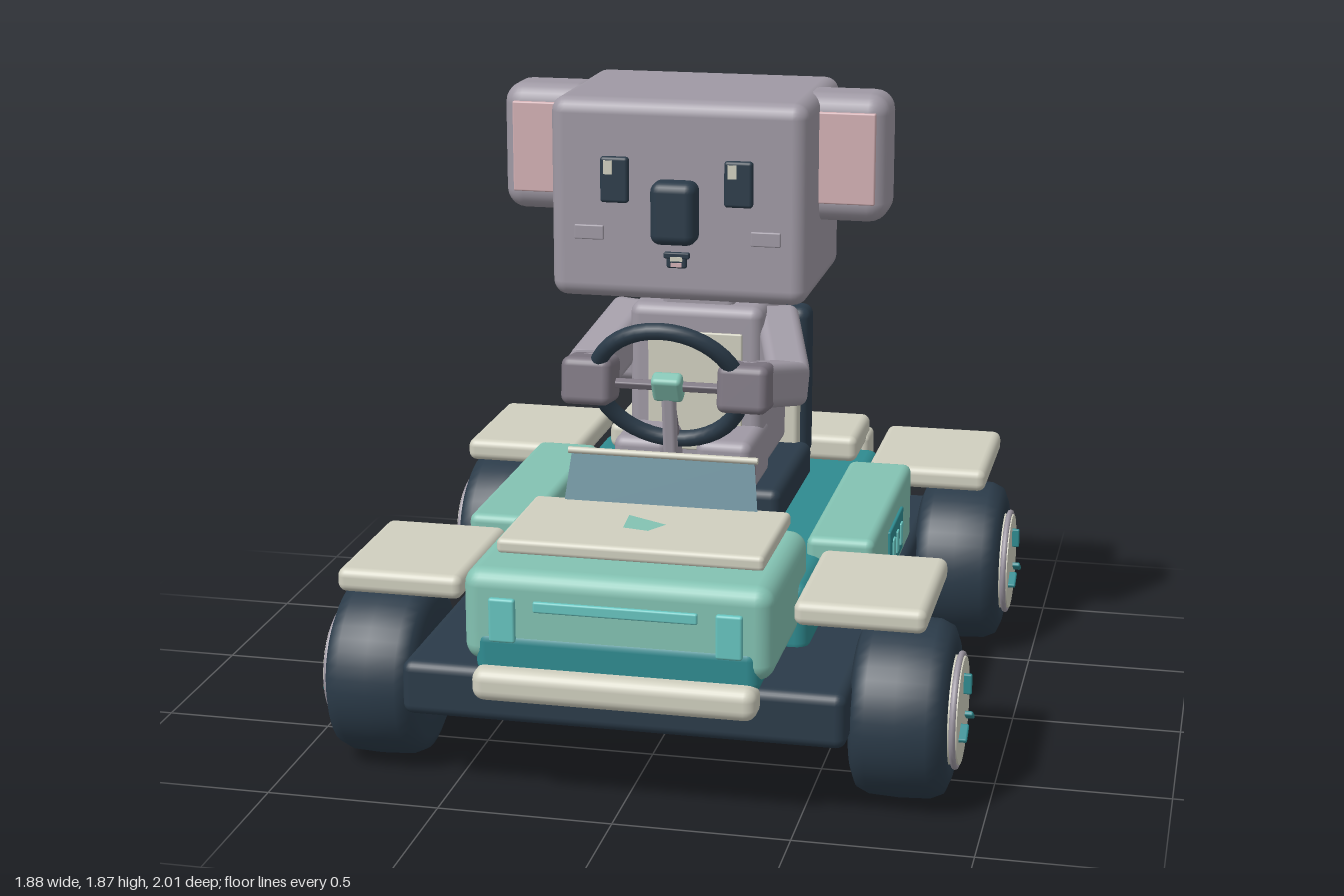
import * as THREE from 'three';
import { RoundedBoxGeometry } from 'three/addons/geometries/RoundedBoxGeometry.js';

const mat = (name, color, side = THREE.FrontSide) => {
  const m = new THREE.MeshStandardMaterial({ color, side });
  m.name = name;
  return m;
};

export function createModel() {
  const navy = mat('navy', 0x2b3b49);
  const mint = mat('mint', 0x83c2b2);
  const teal = mat('teal', 0x2f8b90);
  const cream = mat('cream', 0xd0cfbf);
  const fur = mat('fur grey', 0x9f99a4);
  const paw = mat('paw grey', 0x7d7681);
  const pink = mat('pink', 0xd3b0b4);
  const aqua = mat('aqua', 0x67c5c0);
  const glass = mat('glass', 0x6a909d, THREE.DoubleSide);

  const model = new THREE.Group();
  model.name = 'bearInBuggy';

  const add = (name, geometry, material, parent = model) => {
    const mesh = new THREE.Mesh(geometry, material);
    mesh.name = name;
    parent.add(mesh);
    return mesh;
  };
  // Rounded box given by its extents on each axis
  const box = (name, material, [x0, x1], [y0, y1], [z0, z1], r = 0.02, parent = model) => {
    const w = x1 - x0, h = y1 - y0, d = z1 - z0;
    const geo = r > 0
      ? new RoundedBoxGeometry(w, h, d, 3, Math.min(r, w * 0.45, h * 0.45, d * 0.45))
      : new THREE.BoxGeometry(w, h, d);
    const mesh = add(name, geo, material, parent);
    mesh.position.set((x0 + x1) / 2, (y0 + y1) / 2, (z0 + z1) / 2);
    return mesh;
  };
  // Rounded box repeated on the left and the right
  const pair = (name, material, [x0, x1], y, z, r) => {
    box(name + 'Left', material, [x0, x1], y, z, r);
    box(name + 'Right', material, [-x1, -x0], y, z, r);
  };
  // Rounded box stretched between two points
  const limb = (name, material, a, b, w, h, r = 0.03) => {
    const from = new THREE.Vector3(...a), to = new THREE.Vector3(...b);
    const mesh = add(name, new RoundedBoxGeometry(w, h, from.distanceTo(to), 3, r), material);
    mesh.position.copy(from).lerp(to, 0.5);
    mesh.lookAt(to);
    return mesh;
  };

  // Chassis and body
  box('chassis', navy, [-0.63, 0.63], [0.23, 0.39], [-0.96, 0.905], 0.03);
  box('bodyTub', teal, [-0.465, 0.465], [0.36, 0.575], [-0.84, 0.56], 0.04);
  pair('sidePod', mint, [0.41, 0.61], [0.385, 0.63], [-0.51, 0.29], 0.025);
  pair('ventPanel', teal, [0.605, 0.619], [0.43, 0.565], [-0.265, 0], 0.005);
  for (const z of [-0.055, -0.13, -0.21]) {
    pair('vent', aqua, [0.612, 0.625], [0.46, 0.53], [z - 0.017, z + 0.017], 0.004);
  }

  // Nose, hood and front lights
  box('nose', mint, [-0.435, 0.435], [0.42, 0.69], [0.38, 0.945], 0.05);
  box('lowerNose', teal, [-0.4, 0.4], [0.385, 0.52], [0.75, 0.95], 0.035);
  box('hoodPlate', cream, [-0.38, 0.38], [0.685, 0.73], [0.365, 0.785], 0.015);
  box('lightBar', aqua, [-0.23, 0.23], [0.582, 0.614], [0.94, 0.955], 0.006);
  pair('headlight', aqua, [0.28, 0.355], [0.49, 0.617], [0.94, 0.96], 0.008);
  box('frontBumper', cream, [-0.4, 0.4], [0.325, 0.42], [0.9, 1.0], 0.035);
  const patch = new THREE.Shape([[-0.065, -0.505], [-0.055, -0.62], [0.02, -0.635], [0.058, -0.57]]
    .map(([x, y]) => new THREE.Vector2(x, y)));
  const hoodPatch = add('hoodPatch', new THREE.ShapeGeometry(patch), mint);
  hoodPatch.rotation.x = -Math.PI / 2;
  hoodPatch.position.y = 0.733;

  // Windshield
  box('cowl', navy, [-0.28, 0.28], [0.65, 0.688], [0.32, 0.43], 0.01);
  const pane = new THREE.Shape([[-0.29, 0], [0.29, 0], [0.27, 0.185], [-0.27, 0.185]]
    .map(([x, y]) => new THREE.Vector2(x, y)));
  const windshield = add('windshield', new THREE.ShapeGeometry(pane), glass);
  windshield.position.set(0, 0.69, 0.4);
  windshield.rotation.x = -0.22;
  const rail = add('windshieldRail', new THREE.CylinderGeometry(0.01, 0.01, 0.56, 10), cream);
  rail.rotation.z = Math.PI / 2;
  rail.position.set(0, 0.872, 0.36);

  // Fenders, trunk and tail
  pair('frontFender', cream, [0.47, 0.835], [0.555, 0.625], [0.36, 0.835], 0.025);
  pair('rearFender', cream, [0.47, 0.845], [0.555, 0.625], [-0.96, -0.48], 0.025);
  box('trunkLid', cream, [-0.41, 0.41], [0.575, 0.66], [-0.955, -0.65], 0.025);
  box('rearPanel', teal, [-0.32, 0.32], [0.32, 0.565], [-1.0, -0.8], 0.04);
  box('rearHandle', teal, [-0.08, 0.08], [0.5, 0.525], [-1.01, -0.99], 0.008);
  pair('lampHousing', cream, [0.29, 0.42], [0.44, 0.61], [-0.98, -0.85], 0.02);
  pair('tailLamp', pink, [0.33, 0.37], [0.485, 0.575], [-0.998, -0.97], 0.006);

  // Wheels, turned about the axle
  const tyreProfile = [[0.13, -0.13], [0.2, -0.135], [0.236, -0.12], [0.252, -0.085], [0.256, 0],
    [0.252, 0.085], [0.236, 0.12], [0.2, 0.135], [0.165, 0.135], [0.15, 0.11], [0, 0.11]]
    .map(([x, y]) => new THREE.Vector2(x, y));
  tyreProfile.unshift(new THREE.Vector2(0, -0.13));
  for (const side of [1, -1]) {
    for (const z of [0.6, -0.715]) {
      const wheel = new THREE.Group();
      wheel.name = (z > 0 ? 'front' : 'rear') + 'Wheel' + (side > 0 ? 'Left' : 'Right');
      wheel.position.set(side * 0.755, 0.257, z);
      wheel.rotation.z = -side * Math.PI / 2;
      model.add(wheel);
      add('tyre', new THREE.LatheGeometry(tyreProfile, 40), navy, wheel);
      const ring = add('rimRing', new THREE.TorusGeometry(0.158, 0.009, 8, 40), fur, wheel);
      ring.rotation.x = Math.PI / 2;
      ring.position.y = 0.148;
      const disc = add('hubDisc', new THREE.CylinderGeometry(0.152, 0.155, 0.06, 36), cream, wheel);
      disc.position.y = 0.13;
      for (let i = 0; i < 3; i++) {
        // the first slot points straight up
        const a = Math.PI * 2 * i / 3 + (side > 0 ? Math.PI : 0);
        const slot = add('hubSlot', new RoundedBoxGeometry(0.06, 0.03, 0.014, 2, 0.005), teal, wheel);
        slot.position.set(Math.cos(a) * 0.08, 0.168, Math.sin(a) * 0.08);
        slot.rotation.y = -a;
      }
    }
  }

  // Seat
  box('seatBase', navy, [-0.28, 0.28], [0.55, 0.67], [-0.56, 0], 0.03);
  box('seatBack', navy, [-0.265, 0.265], [0.6, 1.1], [-0.675, -0.565], 0.035);
  box('seatPad', cream, [-0.24, 0.24], [0.64, 1.05], [-0.58, -0.52], 0.015);

  // Steering column and wheel
  limb('steeringColumn', fur, [0, 0.64, 0.225], [0, 1.05, 0.28], 0.04, 0.04, 0.012);
  const steering = new THREE.Group();
  steering.name = 'steeringWheel';
  steering.position.set(0, 1.06, 0.285);
  steering.rotation.x = 0.5;
  model.add(steering);
  add('steeringRim', new THREE.TorusGeometry(0.214, 0.025, 12, 40), navy, steering);
  box('crossSpoke', paw, [-0.21, 0.21], [-0.012, 0.012], [-0.012, 0.012], 0.005, steering);
  box('lowerSpoke', paw, [-0.012, 0.012], [-0.21, 0], [-0.012, 0.012], 0.005, steering);
  box('steeringHub', mint, [-0.045, 0.045], [-0.042, 0.042], [-0.02, 0.03], 0.014, steering);

  // Driver's body
  box('torso', fur, [-0.205, 0.205], [0.685, 1.21], [-0.515, -0.085], 0.035);
  box('bellyPatch', cream, [-0.145, 0.145], [0.76, 1.13], [-0.09, -0.078], 0.005);
  box('neck', fur, [-0.11, 0.11], [1.18, 1.31], [-0.35, -0.12], 0.02);
  box('tail', fur, [-0.36, -0.2], [0.885, 0.98], [-0.475, -0.37], 0.03);
  pair('leg', fur, [0.04, 0.21], [0.67, 0.845], [-0.2, 0.11], 0.03);
  pair('foot', paw, [0.04, 0.215], [0.645, 0.785], [0.035, 0.225], 0.025);
  for (const s of [1, -1]) {
    const label = s > 0 ? 'Left' : 'Right';
    limb('upperArm' + label, fur, [s * 0.215, 1.14, -0.25], [s * 0.305, 1.01, 0.025], 0.13, 0.14);
    limb('forearm' + label, fur, [s * 0.315, 1.01, -0.01], [s * 0.235, 1.08, 0.3], 0.12, 0.13);
    const hand = box('hand' + label, paw, [s * 0.23 - 0.075, s * 0.23 + 0.075], [1.0, 1.14], [0.22, 0.36], 0.025);
    hand.rotation.x = -0.12;
  }

  // Head and ears
  box('head', fur, [-0.38, 0.38], [1.28, 1.87], [-0.42, 0.165], 0.045);
  pair('ear', fur, [0.3, 0.58], [1.49, 1.87], [-0.24, -0.04], 0.06);
  pair('innerEar', pink, [0.37, 0.545], [1.55, 1.82], [-0.05, -0.03], 0.005);

  // Face
  for (const x of [-0.183, 0.183]) {
    box('eye', navy, [x - 0.042, x + 0.042], [1.57, 1.705], [0.16, 0.185], 0.01);
    box('eyeGlint', cream, [x - 0.03, x - 0.004], [1.655, 1.695], [0.183, 0.19], 0);
    const c = x * 1.43;
    box('cheek', fur, [c - 0.044, c + 0.044], [1.457, 1.5], [0.16, 0.172], 0.004);
  }
  box('nose', navy, [-0.068, 0.068], [1.46, 1.645], [0.15, 0.24], 0.03);
  box('mouthLine', navy, [-0.038, 0.038], [1.412, 1.43], [0.16, 0.178], 0.004);
  box('mouth', navy, [-0.03, 0.03], [1.383, 1.425], [0.16, 0.176], 0.008);
  box('teeth', cream, [-0.018, 0.018], [1.405, 1.418], [0.176, 0.18], 0);
  box('tongue', pink, [-0.016, 0.016], [1.388, 1.4], [0.174, 0.179], 0);

  return model;
}
